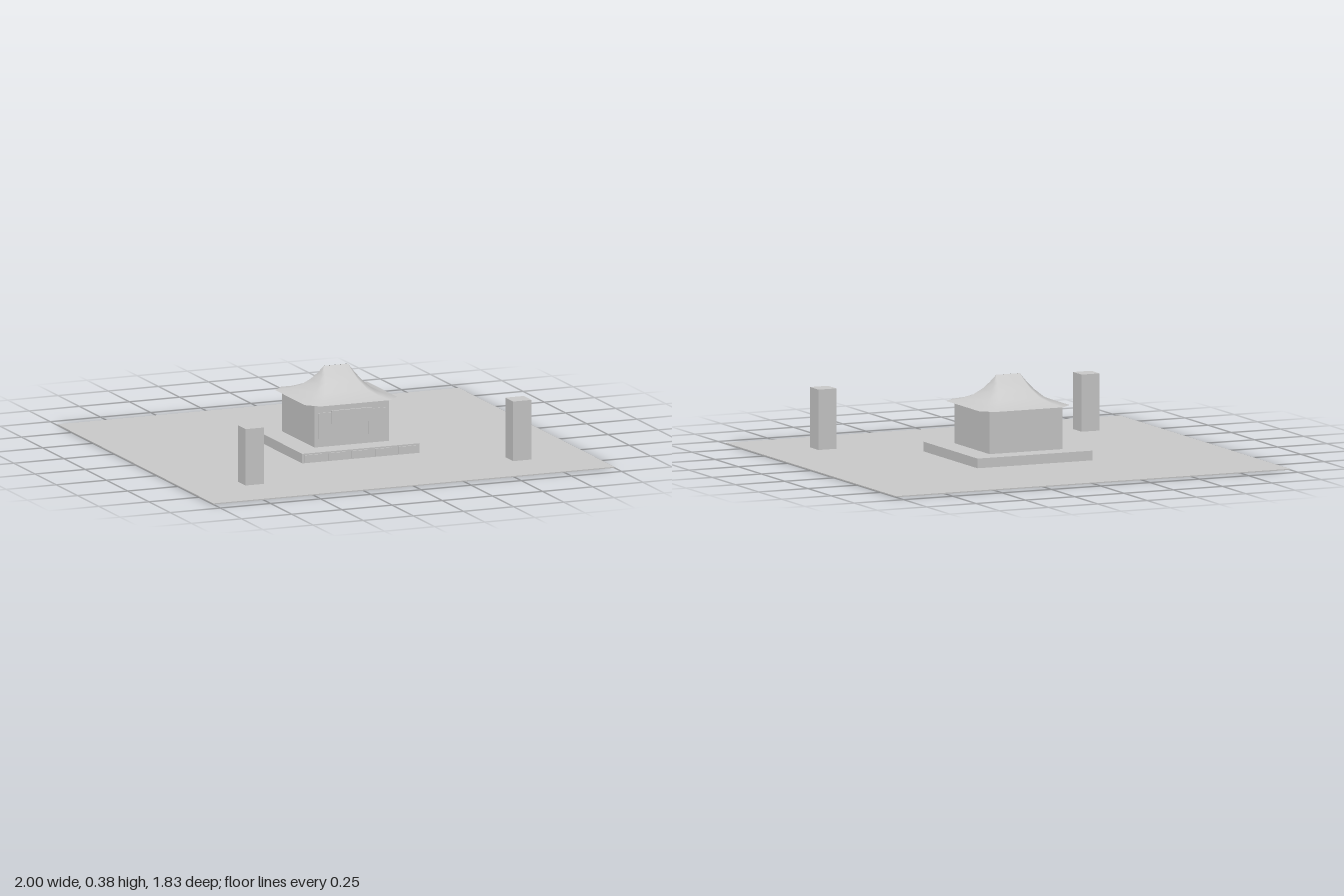
import * as THREE from 'three';

export function createModel() {
  const model = new THREE.Group();
  const stone = new THREE.MeshStandardMaterial({ color: 0xcccccc, side: THREE.DoubleSide });
  stone.name = 'stoneGrey';

  // Box given by its extents on each axis
  function box(name, x0, x1, y0, y1, z0, z1) {
    const mesh = new THREE.Mesh(new THREE.BoxGeometry(x1 - x0, y1 - y0, z1 - z0), stone);
    mesh.position.set((x0 + x1) / 2, (y0 + y1) / 2, (z0 + z1) / 2);
    mesh.name = name;
    model.add(mesh);
  }

  // Courtyard and platform with a row of facing stones
  box('ground', -1, 1, 0, 0.005, -0.917, 0.917);
  box('platform', -0.292, 0.292, 0.005, 0.05, -0.292, 0.292);
  for (let i = 0; i < 5; i++) {
    const x = -0.28 + i * 0.117;
    box('facingStone', x, x + 0.085, 0.009, 0.043, 0.292, 0.298);
  }

  // Hall with front panels and a blank board over the entrance
  box('hall', -0.188, 0.183, 0.05, 0.246, -0.19, 0.19);
  box('leftPanel', 0.08, 0.165, 0.09, 0.21, 0.19, 0.194);
  box('rightPanel', -0.17, -0.088, 0.09, 0.21, 0.19, 0.194);
  box('entranceBoard', -0.105, 0.102, 0.155, 0.217, 0.19, 0.199);

  // Gate pillars
  box('rightPillar', -0.715, -0.624, 0.005, 0.27, 0.533, 0.624);
  box('leftPillar', 0.619, 0.71, 0.005, 0.285, 0.533, 0.624);

  // Curved roof: chamfered rings rising to a short ridge [halfX, halfZ, chamfer, y]
  const rings = [
    [0.23, 0.23, 0.055, 0.25],
    [0.185, 0.18, 0.045, 0.262],
    [0.14, 0.125, 0.033, 0.283],
    [0.105, 0.072, 0.022, 0.318],
    [0.082, 0.035, 0.012, 0.35],
    [0.06, 0.0005, 0.0003, 0.385],
  ];
  const positions = [];
  const index = [];
  for (const [x, z, c, y] of rings) {
    const corners = [
      [x - c, z], [x, z - c], [x, c - z], [x - c, -z],
      [c - x, -z], [-x, c - z], [-x, z - c], [c - x, z],
    ];
    for (const [px, pz] of corners) positions.push(px, y, pz);
  }
  for (let r = 0; r < rings.length - 1; r++) {
    for (let k = 0; k < 8; k++) {
      const a = r * 8 + k;
      const b = r * 8 + (k + 1) % 8;
      index.push(a, b, b + 8, a, b + 8, a + 8);
    }
  }
  const roofGeometry = new THREE.BufferGeometry();
  roofGeometry.setAttribute('position', new THREE.Float32BufferAttribute(positions, 3));
  roofGeometry.setIndex(index);
  roofGeometry.computeVertexNormals();
  const roof = new THREE.Mesh(roofGeometry, stone);
  roof.name = 'roof';
  model.add(roof);

  return model;
}
